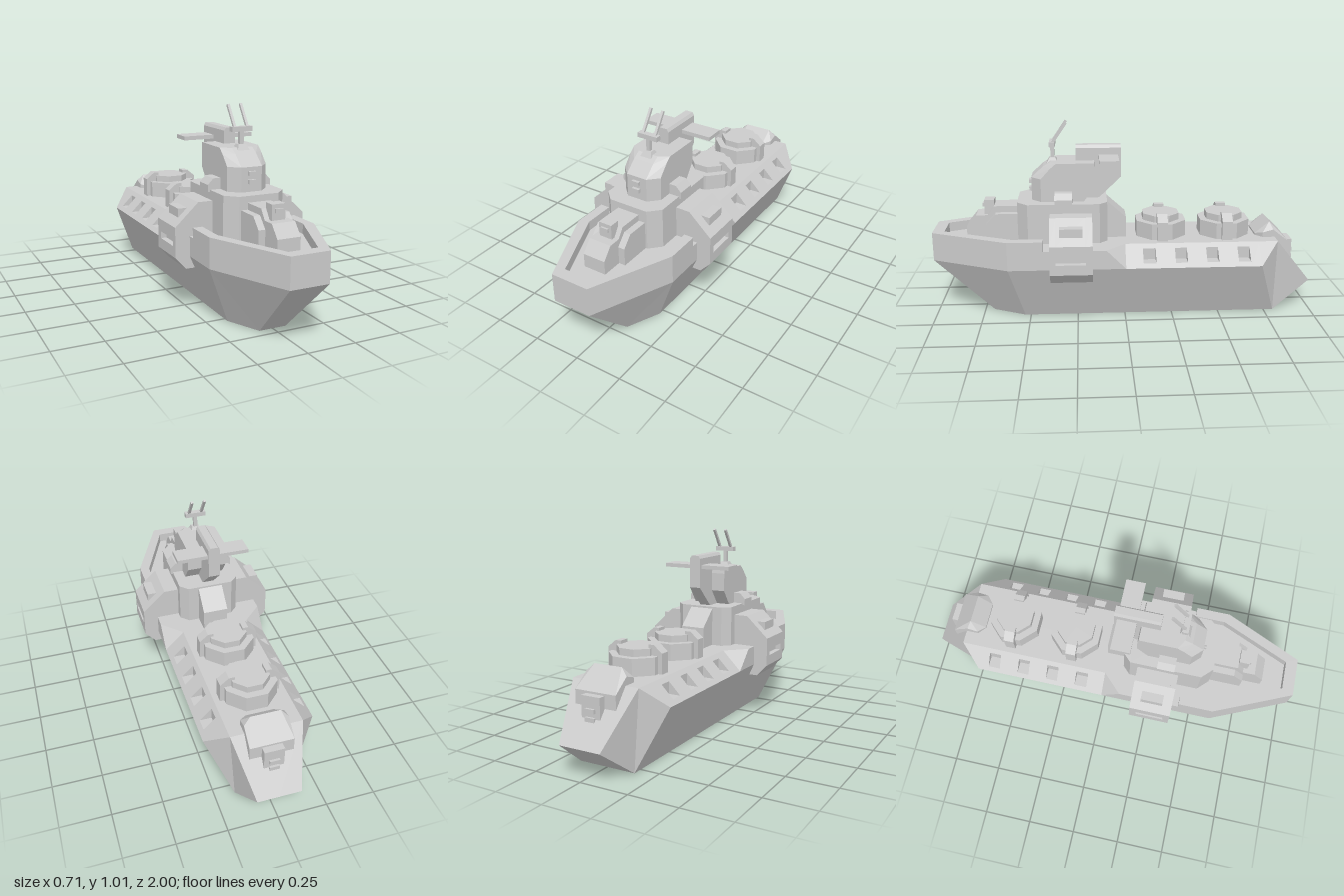
import * as THREE from 'three';
import { ConvexGeometry } from 'three/addons/geometries/ConvexGeometry.js';

const material = new THREE.MeshStandardMaterial({ color: 0xcccccc, flatShading: true });
const SIDES = [1, -1];

export function createModel() {
  const ship = new THREE.Group();
  ship.name = 'warship';

  const add = (name, geometry) => {
    const mesh = new THREE.Mesh(geometry, material);
    mesh.name = name;
    ship.add(mesh);
    return mesh;
  };
  const box = (name, x0, x1, y0, y1, z0, z1) =>
    add(name, new THREE.BoxGeometry(Math.abs(x1 - x0), y1 - y0, z1 - z0)
      .translate((x0 + x1) / 2, (y0 + y1) / 2, (z0 + z1) / 2));
  // Convex solid from points on one side, mirrored across x = 0
  const solid = (name, points) =>
    add(name, new ConvexGeometry(points.flatMap(([x, y, z]) =>
      [new THREE.Vector3(x, y, z), new THREE.Vector3(-x, y, z)])));
  // Convex [z, y] profile with a half width
  const slab = (name, half, profile) => solid(name, profile.map(([z, y]) => [half, y, z]));
  // [x, y] profile extruded from z0 to z1
  const prism = (name, points, z0, z1, s = 1) => {
    const shape = new THREE.Shape(points.map(([x, y]) => new THREE.Vector2(x * s, y)));
    return add(name, new THREE.ExtrudeGeometry(shape, { depth: z1 - z0, bevelEnabled: false }).translate(0, 0, z0));
  };

  // Hull plating: half-side polygons, mirrored and turned outwards
  const k0 = [.07, 0, .7], k1 = [.15, 0, .53], k2 = [.15, 0, -.8];
  const c0 = [.1, .3, 1], c1 = [.28, .3, .6], cm = [.28, .3, 0], c2 = [.28, .3, -.7];
  const d0 = [.1, .4, 1], d1 = [.28, .4, .6], d2 = [.28, .4, .1], d3 = [.18, .4, 0];
  const t1 = [.18, .4, -.7], t2 = [.18, .4, -.8], s0 = [.11, .15, -1];
  const mid = ([, y, z]) => [0, y, z];
  const plates = [
    [k0, k1, c1, c0], [k1, k2, c2, c1], [c0, c1, d1, d0], [c1, cm, d2, d1], [cm, d3, d2],
    [c2, t1, t2], [c2, t2, k2], [t2, s0, k2],
    ...[[k0, k1], [k1, k2], [k0, c0], [c0, d0], [d0, d1], [d1, d2], [d2, d3], [d3, t2], [t2, s0], [s0, k2]]
      .map(([a, b]) => [a, b, mid(b), mid(a)]),
  ];
  const verts = [], centre = new THREE.Vector3(0, .2, 0);
  for (const plate of plates) for (const s of SIDES) {
    const p = plate.map(([x, y, z]) => new THREE.Vector3(x * s, y, z));
    for (let i = 1; i < p.length - 1; i++) {
      const tri = new THREE.Triangle(p[0], p[i], p[i + 1]);
      const out = tri.getNormal(new THREE.Vector3()).dot(p[0].clone().sub(centre)) > 0;
      for (const v of out ? [tri.a, tri.b, tri.c] : [tri.a, tri.c, tri.b]) verts.push(v.x, v.y, v.z);
    }
  }
  const hull = new THREE.BufferGeometry();
  hull.setAttribute('position', new THREE.Float32BufferAttribute(verts, 3));
  hull.computeVertexNormals();
  add('hull', hull);

  // Raised rim round the bow
  const rim = [[.28, .42], [.28, .6], [.1, 1], [-.1, 1], [-.28, .6], [-.28, .42],
    [-.23, .42], [-.23, .58], [-.075, .94], [.075, .94], [.23, .58], [.23, .42]];
  prism('bowRim', rim, 0, .05).geometry.rotateX(Math.PI / 2).translate(0, .45, 0);

  // Sloping aft sides with notched ports
  const plain = [[.1, .3], [.28, .3], [.18, .4], [.1, .4]];
  const notched = [[.1, .3], [.28, .3], [.26, .32], [.2, .32], [.2, .38], [.18, .4], [.1, .4]];
  const cuts = [-.7, -.645, -.582, -.48, -.418, -.318, -.256, -.156, -.09, 0];
  for (const s of SIDES) for (let i = 0; i < cuts.length - 1; i++)
    prism(i % 2 ? 'sidePort' : 'sideSlope', i % 2 ? notched : plain, cuts[i], cuts[i + 1], s);

  // Side sponsons with a slot in the outer face and a block on the shoulder
  const outer = [[.14, .24], [.3, .24], [.355, .3], [.355, .45], [.235, .562], [.14, .562]];
  const slotted = [...outer.slice(0, 3), [.355, .353], [.325, .353], [.325, .388], [.355, .388], ...outer.slice(3)];
  for (const s of SIDES) {
    prism('sponson', outer, .17, .205, s);
    prism('sponsonSlot', slotted, .205, .355, s);
    prism('sponson', outer, .355, .385, s);
    prism('sponsonBlock', [[.24, .45], [.318, .45], [.318, .528], [.24, .528]], .22, .335, s);
    prism('shoulderBox', [[.09, .6], [.172, .6], [.172, .635], [.143, .665], [.09, .665]], .27, .36, s);
  }

  // Main deckhouse
  solid('deckhouse', [.39, .61].flatMap(y =>
    [[.105, y, .555], [.16, y, .5], [.16, y, .13], [.12, y, .09]]));
  slab('aftRamp', .065, [[.15, .4], [-.01, .4], [-.01, .51], [.02, .53], [.09, .6], [.15, .6]]);

  // Bridge tower: height, front, shoulder and back of each level
  solid('bridgeTower', [[.61, .48, .43, .21], [.69, .48, .43, .15], [.73, .48, .43, .15],
    [.785, .42, .38, .15], [.81, .38, .35, .155]].flatMap(([y, front, shoulder, back]) =>
    [[.055, y, front], [.105, y, shoulder], [.105, y, back]]));
  for (const y of [.65, .69]) box('towerWindow', -.02, .02, y, y + .02, .47, .495);

  // Tail fin with wings
  solid('towerFin', [[.03, .61, .25], [.03, .61, .13], [.03, .72, .015], [.03, .875, .015],
    [.02, .89, .015], [.02, .89, .25], [.03, .875, .25]]);
  box('wings', -.19, .19, .82, .84, .03, .13);

  // Twin antenna on the tower
  solid('antennaBase', [[.04, .78, .33], [.04, .78, .41], [.02, .825, .355], [.02, .825, .385]]);
  box('antennaMast', -.01, .01, .79, .9, .36, .38);
  box('antennaBar', -.055, .055, .886, .91, .355, .385);
  for (const s of SIDES) {
    const rod = add('antennaRod', new THREE.BoxGeometry(.013, .13, .013));
    rod.position.set(.034 * s, .955, .334);
    rod.rotation.x = -.6;
  }

  // Bow turret
  slab('bowTurret', .06, [[.55, .4], [.825, .4], [.825, .47], [.775, .53], [.55, .53]]);
  slab('bowTurretTop', .06, [[.55, .52], [.72, .52], [.68, .578], [.55, .578]]);
  slab('bowTurretSides', .095, [[.55, .4], [.72, .4], [.72, .49], [.67, .545], [.55, .545]]);
  box('bowSight', -.035, .035, .52, .605, .68, .732);
  box('bowSightWindow', -.02, .02, .565, .585, .73, .742);

  // Octagonal aft turrets with side lugs
  const octagon = (name, flat, y0, y1, z) => {
    const r = flat / Math.cos(Math.PI / 8);
    add(name, new THREE.CylinderGeometry(r, r, y1 - y0, 8, 1).rotateY(Math.PI / 8).translate(0, (y0 + y1) / 2, z));
  };
  for (const z of [-.197, -.537]) {
    octagon('turretBase', .13, .39, .485, z);
    octagon('turretTop', .095, .48, .52, z);
    for (const s of SIDES)
      prism('turretLug', [[.078, .4], [.152, .4], [.152, .5], [.108, .536], [.078, .536]], z - .027, z + .027, s);
  }

  // Stern housing with its vent box
  solid('sternHousing', [[.07, .39, -.7], [.07, .41, -.7], [.11, .39, -.735], [.11, .425, -.735],
    [.075, .475, -.775], [.11, .44, -.79], [.11, .375, -.875], [.11, .24, -.875], [.11, .2, -.8]]);
  box('sternVent', -.05, .05, .235, .365, -.91, -.86);
  for (const y of [.25, .29]) box('ventSlat', -.025, .025, y, y + .02, -.922, -.9);

  return ship;
}
